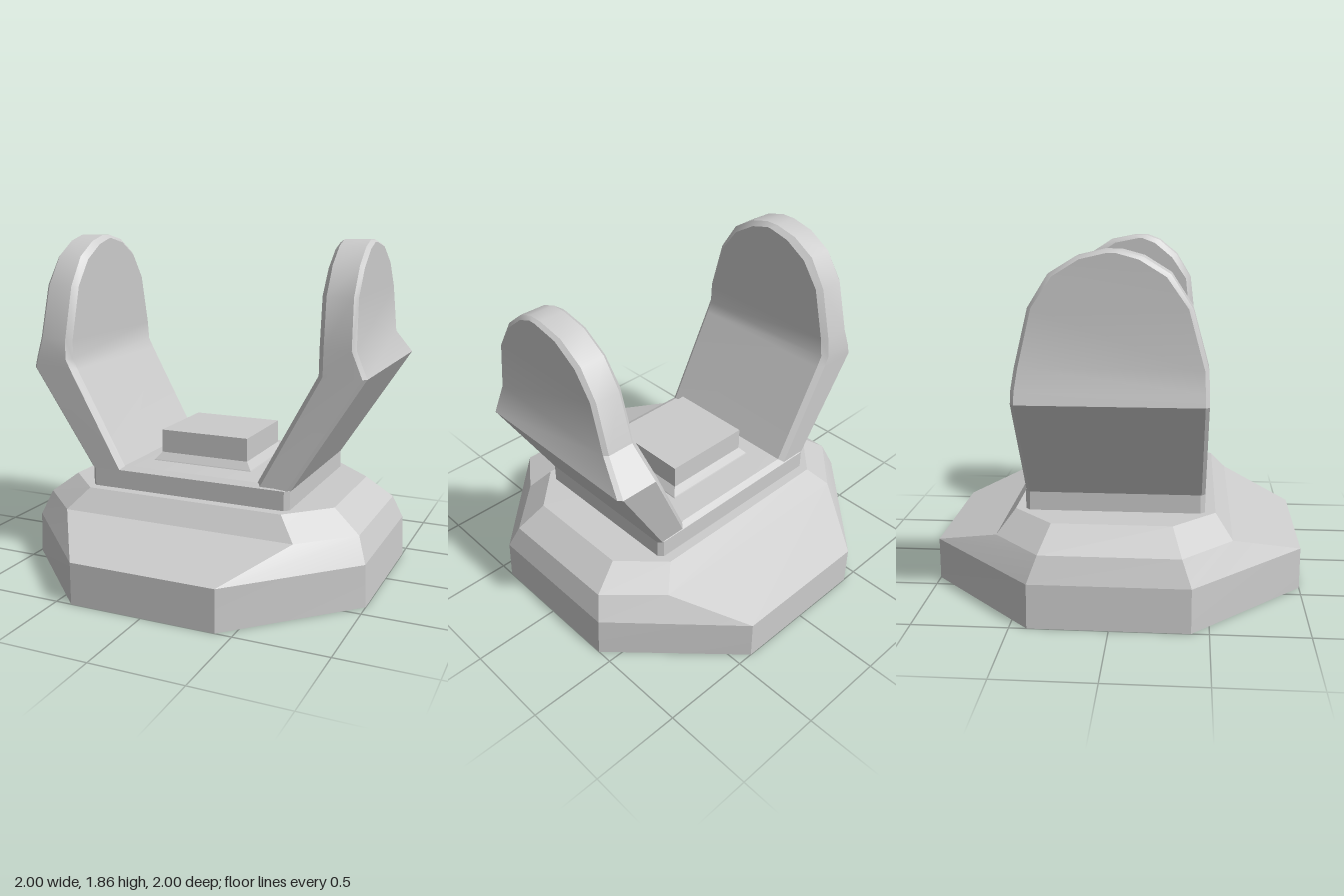
import * as THREE from 'three';
import { toCreasedNormals } from 'three/addons/utils/BufferGeometryUtils.js';

// Skins a stack of rings and closes both ends with strips from side to side.
function loft(rings, crease) {
  const n = rings[0].length;
  let tris = [];
  const quad = (a, b, c, d) => tris.push([a, b, c], [a, c, d]);
  for (let r = 0; r < rings.length - 1; r++) {
    for (let i = 0; i < n; i++) {
      const j = (i + 1) % n;
      quad(rings[r][i], rings[r][j], rings[r + 1][j], rings[r + 1][i]);
    }
  }
  const first = rings[0], last = rings[rings.length - 1];
  for (let i = 0; i < n / 2 - 1; i++) {
    quad(first[i], first[n - 1 - i], first[n - 2 - i], first[i + 1]);
    quad(last[i], last[i + 1], last[n - 2 - i], last[n - 1 - i]);
  }
  // Turn the faces outward if the enclosed volume comes out negative.
  const v = (p) => new THREE.Vector3(...p);
  const volume = tris.reduce((s, [a, b, c]) => s + v(a).dot(v(b).cross(v(c))), 0);
  if (volume < 0) tris = tris.map(([a, b, c]) => [a, c, b]);

  const geometry = new THREE.BufferGeometry();
  geometry.setAttribute('position', new THREE.Float32BufferAttribute(tris.flat(2), 3));
  return toCreasedNormals(geometry, crease);
}

// Eight-cornered ring: (ax, az) ends the front edge, (bx, bz) ends the side edge.
function octagon(y, ax, az, bx, bz) {
  const half = [[ax, az], [bx, bz], [bx, -bz], [ax, -az]];
  return [
    ...half.map(([x, z]) => [x, y, z]),
    ...half.map(([x, z]) => [-x, y, -z]),
  ];
}

function rectangle(y, x, z) {
  return [[x, y, z], [x, y, -z], [-x, y, -z], [-x, y, z]];
}

// Plate with chamfered rim; each row is [y, front z, back z, inner x, outer x].
function armGeometry(rows, side) {
  const ring = (inset, xOf) => {
    const point = (row, z) => [
      side * xOf(row),
      row[0] - (row[0] > 1.7 ? inset * 0.6 : 0),
      z,
    ];
    return [
      ...rows.map((r) => point(r, r[1] - inset)),
      ...[...rows].reverse().map((r) => point(r, r[2] + inset)),
    ];
  };
  return loft([
    ring(0.03, (r) => r[3]),
    ring(0, (r) => r[3] + 0.03),
    ring(0, (r) => r[4] - 0.02),
    ring(0.02, (r) => r[4]),
  ], 0.5);
}

export function createModel() {
  const group = new THREE.Group();
  const material = new THREE.MeshStandardMaterial({ color: 0xcccccc });
  const add = (name, geometry) => {
    const mesh = new THREE.Mesh(geometry, material);
    mesh.name = name;
    group.add(mesh);
  };

  // Octagonal foot with two sloping tiers
  add('base', loft([
    octagon(0, 0.41, 1, 1, 0.41),
    octagon(0.23, 0.41, 1, 0.99, 0.41),
    octagon(0.365, 0.67, 0.62, 0.94, 0.36),
    octagon(0.48, 0.57, 0.53, 0.79, 0.31),
  ], 0.15));

  // Floor of the cradle between the arms
  add('cradleFloor', loft([
    octagon(0.47, 0.565, 0.475, 0.59, 0.45),
    octagon(0.585, 0.565, 0.475, 0.59, 0.45),
    octagon(0.605, 0.385, 0.44, 0.39, 0.43),
  ], 0.15));

  // Raised block with flared foot
  add('centreBlock', loft([
    rectangle(0.6, 0.3, 0.275),
    rectangle(0.61, 0.295, 0.27),
    rectangle(0.65, 0.262, 0.24),
    rectangle(0.78, 0.262, 0.24),
  ], 0.15));

  // Arm with an even rounded top
  add('rightArm', armGeometry([
    [0.58, 0.475, -0.47, 0.38, 0.59],
    [1.13, 0.48, -0.475, 0.68, 0.955],
    [1.19, 0.48, -0.475, 0.71, 0.94],
    [1.30, 0.475, -0.46, 0.71, 0.91],
    [1.59, 0.395, -0.39, 0.71, 0.905],
    [1.75, 0.29, -0.29, 0.71, 0.9],
    [1.83, 0.16, -0.16, 0.71, 0.9],
    [1.86, 0.05, -0.03, 0.71, 0.9],
  ], -1));

  // Arm with a point at its back edge
  add('leftArm', armGeometry([
    [0.58, 0.465, -0.47, 0.39, 0.59],
    [1.19, 0.415, -0.615, 0.71, 0.965],
    [1.33, 0.41, -0.45, 0.71, 0.905],
    [1.59, 0.38, -0.37, 0.71, 0.9],
    [1.74, 0.29, -0.27, 0.71, 0.9],
    [1.83, 0.18, -0.13, 0.71, 0.9],
    [1.86, 0.1, 0.02, 0.71, 0.9],
  ], 1));

  return group;
}
